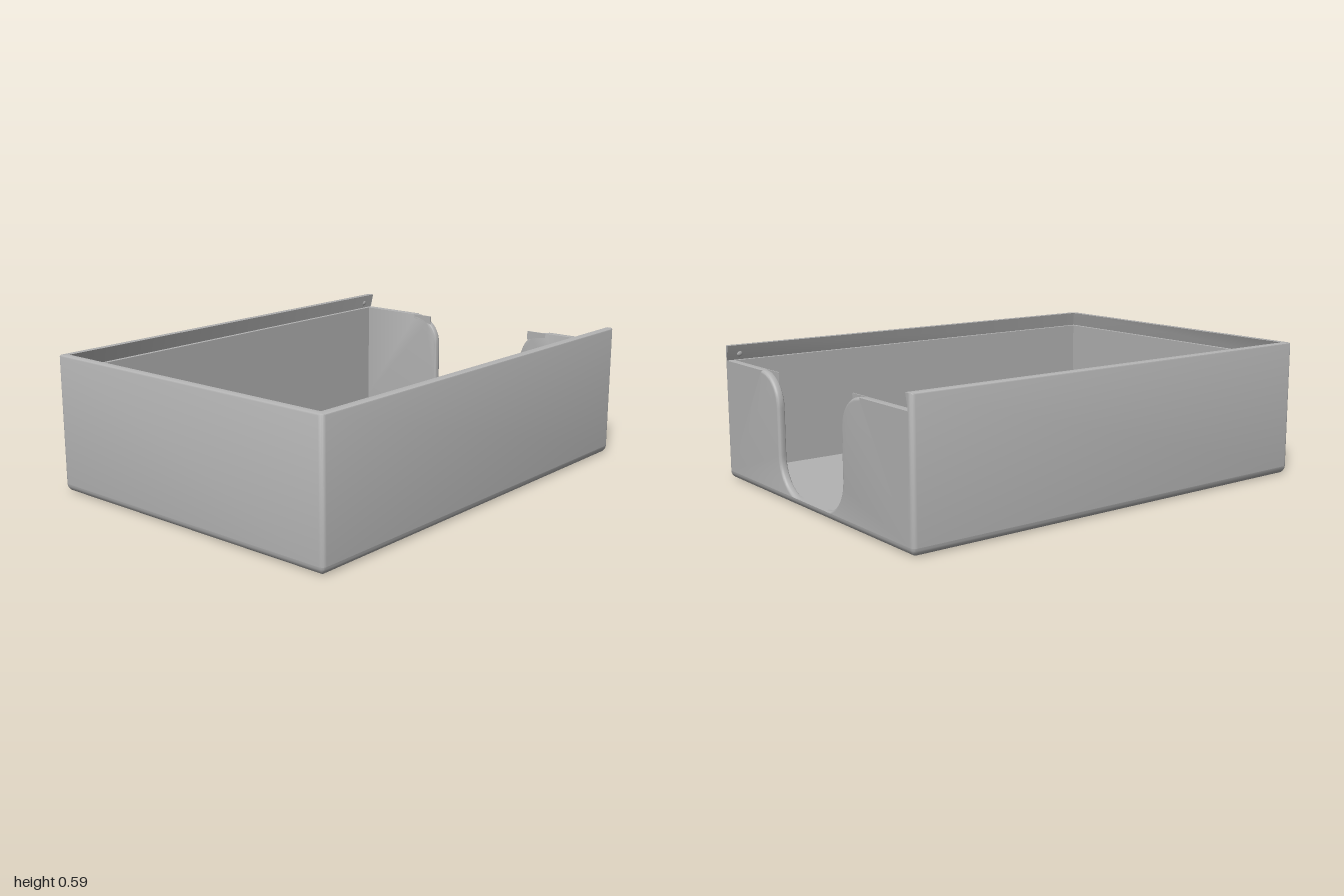
import * as THREE from 'three';
import { toCreasedNormals } from 'three/addons/utils/BufferGeometryUtils.js';

const HX = 0.73, HZ = 1, TOP = 0.59, WALL = 0.035, FLOOR = 0.035, LEDGE = 0.525, CORNER = 0.02;
const V = (x, y, z) => new THREE.Vector3(x, y, z);

// Collects triangles, leaving out empty ones
function addTri(out, a, b, c) {
  const n = b.clone().sub(a).cross(c.clone().sub(a));
  if (n.length() > 1e-9) out.push(a, b, c);
}

// Flat face over a loop of points, facing dir
function addCap(out, ring, dir) {
  const pts = ring.filter((p, i) => p.distanceTo(ring[(i + 1) % ring.length]) > 1e-6);
  const flat = pts.map((p) => new THREE.Vector2(p.x, Math.abs(dir.y) > 0.5 ? p.z : p.y));
  for (const [i, j, k] of THREE.ShapeUtils.triangulateShape(flat, [])) {
    const [a, b, c] = [pts[i], pts[j], pts[k]];
    const n = b.clone().sub(a).cross(c.clone().sub(a));
    if (n.dot(dir) > 0) addTri(out, a, b, c);
    else addTri(out, a, c, b);
  }
}

// Skin between successive rings of points
function loft(rings, closed, caps) {
  const out = [];
  for (let i = 0; i < rings.length - 1; i++) {
    const r = rings[i], s = rings[i + 1], n = r.length;
    for (let j = 0; j < (closed ? n : n - 1); j++) {
      const k = (j + 1) % n;
      addTri(out, r[j], s[k], r[k]);
      addTri(out, r[j], s[j], s[k]);
    }
  }
  for (const [ring, dir] of caps) addCap(out, ring, dir);
  return toCreasedNormals(new THREE.BufferGeometry().setFromPoints(out), 0.6);
}

// Rounded rectangle from the back +x corner, round the front, to the back -x corner
function outline(inset, y, backInset) {
  const r = Math.max(CORNER - inset, 0), pts = [];
  const x = HX - inset - r, front = HZ - inset - r, back = -HZ + backInset + r;
  [[x, back, -90], [x, front, 0], [-x, front, 90], [-x, back, 180]].forEach(([cx, cz, start]) => {
    for (let k = 0; k <= 5; k++) {
      const a = THREE.MathUtils.degToRad(start + k * 18);
      pts.push(V(cx + r * Math.cos(a), y, cz + r * Math.sin(a)));
    }
  });
  return pts;
}

// Half of the back wall at depth z, its thumb cut-out widened by d
function backOutline(z, d) {
  const pts = [], N = 10;
  for (let k = 0; k <= N; k++) {
    const a = -Math.PI / 2 + (k / N) * Math.PI / 2, r = 0.15 + d;
    pts.push(V(0.1 + r * Math.cos(a), Math.max(0.185 + r * Math.sin(a), FLOOR), z));
  }
  for (let k = 0; k <= N; k++) {
    const a = Math.PI - (k / N) * Math.PI / 2, r = 0.14 - d;
    pts.push(V(0.39 + r * Math.cos(a), 0.385 + r * Math.sin(a), z));
  }
  const side = HX - CORNER;
  pts.push(V(0.39, LEDGE, z), V(side, LEDGE, z), V(side, FLOOR, z));
  return pts;
}

export function createModel() {
  const group = new THREE.Group();
  const grey = new THREE.MeshStandardMaterial({ color: 0xb3b3b3, side: THREE.DoubleSide });
  grey.name = 'grey plastic';
  const add = (name, geometry, mirrored = false) => {
    const mesh = new THREE.Mesh(geometry, grey);
    mesh.name = name;
    if (mirrored) mesh.scale.x = -1;
    group.add(mesh);
    return mesh;
  };

  // Floor slab with rounded lower edges
  const baseRings = [];
  for (let k = 0; k <= 6; k++) {
    const a = (k / 6) * Math.PI / 2, inset = FLOOR * (1 - Math.sin(a));
    baseRings.push(outline(inset, FLOOR * (1 - Math.cos(a)), inset));
  }
  add('floor', loft(baseRings, true, [[baseRings[0], V(0, -1, 0)], [baseRings[6], V(0, 1, 0)]]));

  // Front and side walls, with an undercut groove for a sliding lid
  const profile = [[0, FLOOR], [0, TOP - 0.006], [0.002, TOP - 0.002], [0.006, TOP],
    [WALL, TOP], [0.017, LEDGE], [WALL, LEDGE], [WALL, FLOOR]];
  const wallRings = profile.map(([inset, y]) => outline(inset, y, 0));
  const last = wallRings[0].length - 1;
  add('frontAndSideWalls', loft(wallRings, false, [
    [wallRings.map((r) => r[0]), V(0, 0, -1)],
    [wallRings.map((r) => r[last]), V(0, 0, -1)],
  ]));

  // Back wall halves, with rounded edges along the cut-out
  const backRings = [], edge = 0.012;
  for (let k = 0; k <= 4; k++) {
    const a = (k / 4) * Math.PI / 2;
    backRings.push(backOutline(-HZ + edge * (1 - Math.cos(a)), edge * (1 - Math.sin(a))));
  }
  for (let k = 0; k <= 4; k++) {
    const a = (k / 4) * Math.PI / 2;
    backRings.push(backOutline(-HZ + WALL - edge * (1 - Math.sin(a)), edge * (1 - Math.cos(a))));
  }
  const backGeometry = loft(backRings, true,
    [[backRings[0], V(0, 0, -1)], [backRings[9], V(0, 0, 1)]]);

  // Thin pointed lip at the top of each cut-out side
  const lipShape = new THREE.Shape();
  lipShape.moveTo(0.39, LEDGE);
  lipShape.lineTo(0.29, LEDGE);
  lipShape.lineTo(0.29, 0.483);
  lipShape.lineTo(0.33, 0.495);
  lipShape.lineTo(0.39, 0.505);
  const lipGeometry = new THREE.ExtrudeGeometry(lipShape, { depth: 0.005, bevelEnabled: false });
  lipGeometry.translate(0, 0, -HZ + WALL - 0.005);

  for (const side of [1, -1]) {
    const label = side > 0 ? 'left' : 'right';
    add(label + 'BackWall', backGeometry, side < 0);
    add(label + 'CutoutLip', lipGeometry, side < 0);
    // Small catch in the lid groove
    const bump = add(label + 'LidCatch', new THREE.SphereGeometry(0.014, 16, 12));
    bump.scale.x = 0.6;
    bump.position.set(side * (HX - 0.021), 0.552, -0.94);
  }
  return group;
}
